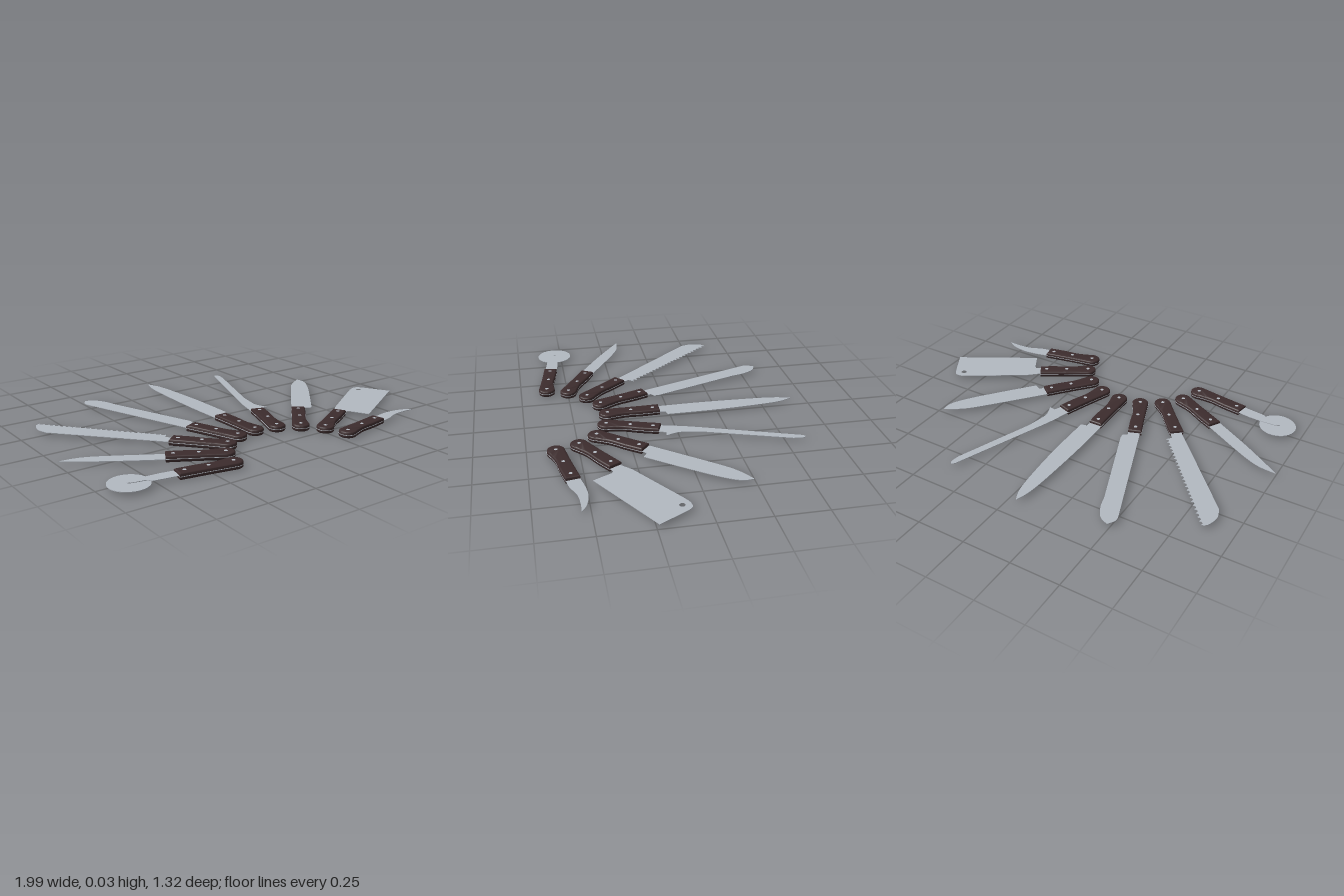
import * as THREE from 'three';
import { toCreasedNormals } from 'three/addons/utils/BufferGeometryUtils.js';

// Every knife is drawn in its own plan frame: [across, along],
// with the handle front at along = 0 and the blade pointing to +along.
const MID = 0.0165; // height of the blade plane
const HUB = [-0.038, 0.672]; // centre of the fan
const FRONT_RADIUS = 0.621; // hub to handle front
const STEP = Math.PI / 9; // angle between knives
const BUTT = { along: -0.273, radius: 0.043 };

const vec = ([x, y]) => new THREE.Vector2(x, y);

// Flat plate lying on height y, with rounded rims if bevelled
function plate(shape, thickness, y, bevel = 0, offset = 0) {
  const geo = new THREE.ExtrudeGeometry(shape, {
    depth: thickness - 2 * bevel, curveSegments: 8, bevelEnabled: bevel > 0,
    bevelThickness: bevel, bevelSize: bevel, bevelOffset: offset, bevelSegments: 4,
  });
  geo.translate(0, 0, bevel - thickness / 2);
  geo.rotateX(-Math.PI / 2);
  geo.translate(0, y, 0);
  return toCreasedNormals(geo, 0.6);
}

// Grip outline: slightly curved sides running into a round butt
function gripShape() {
  const arcPoint = (a) => [BUTT.radius * Math.cos(a), BUTT.along + BUTT.radius * Math.sin(a)];
  const from = 0.35, to = -Math.PI - 0.1;
  const shape = new THREE.Shape();
  shape.moveTo(-0.045, 0);
  shape.lineTo(0.025, 0);
  shape.splineThru([[0.028, -0.09], [0.026, -0.18], arcPoint(from)].map(vec));
  shape.absarc(0, BUTT.along, BUTT.radius, from, to, true);
  shape.splineThru([[-0.042, -0.18], [-0.043, -0.09], [-0.045, 0]].map(vec));
  return shape;
}

// Blade outline from the spine root round to the heel. Each run goes on from
// the last: one point is a straight line, more are a smooth curve.
function bladeShape(...runs) {
  const shape = new THREE.Shape();
  shape.moveTo(-0.036, -0.03);
  for (const run of runs) {
    if (run.length > 1) shape.splineThru(run.map(vec));
    else shape.lineTo(...run[0]);
  }
  shape.lineTo(0.024, shape.currentPoint.y - 0.006);
  shape.lineTo(0.02, -0.03);
  return shape;
}

// Saw edge running back from the tip to the heel
function sawTeeth(tip, heel, across, count, depth) {
  const runs = [];
  const pitch = (heel - tip) / count;
  for (let i = 0; i < count; i++) {
    const a = tip + i * pitch;
    runs.push([[across - depth, a + pitch * 0.3]], [[across - depth, a + pitch * 0.7]], [[across, a + pitch]]);
  }
  return runs;
}

export function createModel() {
  const steel = new THREE.MeshStandardMaterial({ color: 0xb2b8c0 });
  steel.name = 'steel';
  const wood = new THREE.MeshStandardMaterial({ color: 0x3c2c2d });
  wood.name = 'dark wood';

  const model = new THREE.Group();
  model.name = 'knifeSet';

  function add(parent, name, geo, mat, x = 0, y = 0, z = 0) {
    const mesh = new THREE.Mesh(geo, mat);
    mesh.name = name;
    mesh.position.set(x, y, z);
    parent.add(mesh);
  }

  const grip = gripShape();
  const gripGeo = plate(grip, 0.032, MID, 0.008, -0.008);
  const tangGeo = plate(grip, 0.003, MID, 0.001);
  const rivetGeo = new THREE.CylinderGeometry(0.009, 0.009, 0.033, 16);

  // One knife in the fan; slot 0 points straight back
  function addKnife(slot, name, shape, bladeHeight = MID) {
    const angle = slot * STEP;
    const knife = new THREE.Group();
    knife.name = name;
    knife.position.set(HUB[0] + FRONT_RADIUS * Math.sin(angle), 0, HUB[1] - FRONT_RADIUS * Math.cos(angle));
    knife.rotation.y = -angle;
    model.add(knife);
    add(knife, 'grip', gripGeo, wood);
    add(knife, 'tang', tangGeo, steel);
    for (const along of [0.035, 0.15, 0.272]) add(knife, 'rivet', rivetGeo, steel, -0.01 + along * 0.037, MID, along);
    add(knife, 'blade', plate(shape, 0.0028, bladeHeight), steel);
    return knife;
  }

  // Wheel cutter: a flat arm over a round blade
  const cutter = addKnife(-4, 'wheelCutter', bladeShape(
    [[-0.039, 0]], [[-0.042, 0.12]], [[-0.022, 0.14]], [[-0.021, 0.215], [-0.011, 0.224], [-0.001, 0.215]],
    [[0.015, 0.139]], [[0.023, 0.066]], [[0.024, 0.006]]), MID + 0.004);
  add(cutter, 'wheel', new THREE.CylinderGeometry(0.094, 0.094, 0.003, 48), steel, -0.011, MID, -0.215);
  add(cutter, 'pivot', new THREE.CylinderGeometry(0.006, 0.006, 0.01, 12), steel, -0.011, MID + 0.003, -0.215);

  addKnife(-3, 'utilityKnife', bladeShape(
    [[-0.046, 0.003]], [[-0.042, 0.235], [-0.026, 0.475]],
    [[0.011, 0.388], [0.023, 0.272], [0.022, 0.006]]));

  addKnife(-2, 'breadKnife', bladeShape(
    [[-0.035, 0]], [[-0.055, 0.616]], [[-0.028, 0.672], [0.023, 0.708], [0.057, 0.706]],
    ...sawTeeth(0.706, 0.044, 0.057, 24, 0.012)));

  addKnife(-1, 'slicingKnife', bladeShape(
    [[-0.037, 0]], [[-0.033, 0.655]], [[-0.026, 0.689], [0.008, 0.719]],
    [[0.045, 0.678], [0.058, 0.61], [0.053, 0.544]], [[0.055, 0.053]], [[0.049, 0.028]]));

  addKnife(0, 'chefKnife', bladeShape(
    [[-0.045, 0]], [[-0.048, 0.25], [-0.035, 0.59], [-0.008, 0.716]],
    [[0.021, 0.64], [0.038, 0.5], [0.051, 0.29], [0.054, 0.036]]));

  addKnife(1, 'boningKnife', bladeShape(
    [[-0.044, 0]], [[-0.053, 0.128], [-0.053, 0.271]], [[-0.05, 0.7]],
    [[-0.043, 0.718], [-0.025, 0.708], [-0.013, 0.661]], [[-0.01, 0.229]],
    [[0.002, 0.149], [0.015, 0.097], [0.057, 0.044]]));

  addKnife(2, 'broadKnife', bladeShape(
    [[-0.044, 0]], [[-0.045, 0.369], [-0.035, 0.482], [-0.007, 0.567]],
    [[0.031, 0.522], [0.05, 0.422], [0.058, 0.246], [0.062, 0.033]]));

  // Cleaver, with a hanging hole near the tip
  const cleaver = bladeShape(
    [[-0.036, 0]], [[-0.053, 0.071]], [[-0.07, 0.388]],
    [[-0.069, 0.444], [-0.05, 0.48], [-0.009, 0.487]], [[0.138, 0.486]], [[0.14, 0.03]], [[0.041, 0.034]]);
  cleaver.holes.push(new THREE.Path().absarc(-0.028, 0.439, 0.014, 0, Math.PI * 2, true));
  addKnife(3, 'cleaver', cleaver);

  addKnife(4, 'peelingKnife', bladeShape(
    [[-0.043, 0.004]], [[-0.045, 0.08], [-0.038, 0.15], [-0.01, 0.222], [0.025, 0.263]],
    [[0.012, 0.206], [0.006, 0.128], [0.021, 0.058], [0.023, 0.003]]));

  return model;
}
